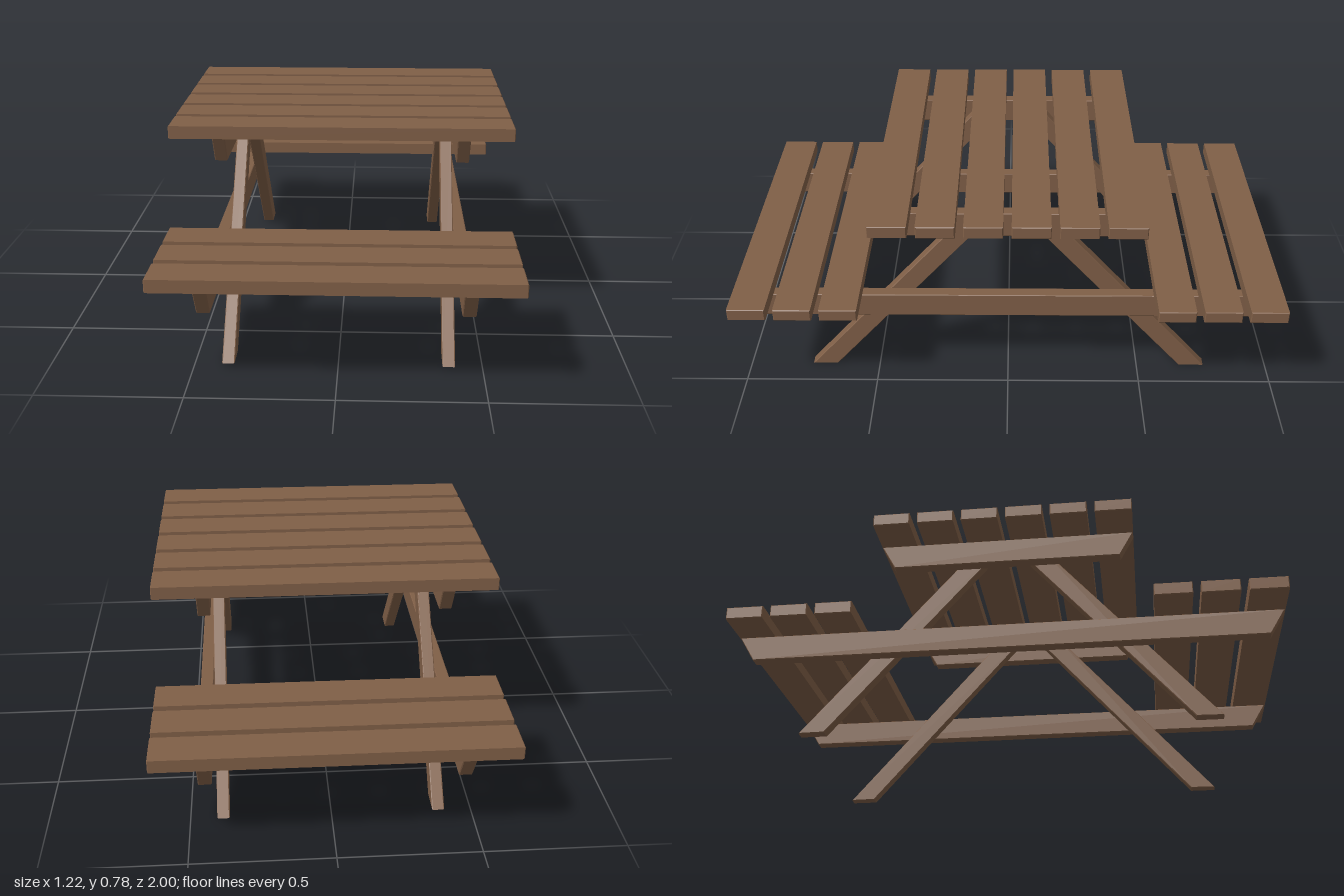
import * as THREE from 'three';

const wood = new THREE.MeshStandardMaterial({ color: 0x805f47 });
wood.name = 'brown wood';

const BEVEL = 0.003;

// Timber with a [z, y] outline, running along x between x0 and x1, edges slightly eased
function timber(name, outline, x0, x1) {
  const shape = new THREE.Shape(outline.map(([z, y]) => new THREE.Vector2(z, y)));
  const geometry = new THREE.ExtrudeGeometry(shape, {
    depth: x1 - x0 - 2 * BEVEL,
    bevelThickness: BEVEL,
    bevelSize: BEVEL,
    bevelOffset: -BEVEL,
    bevelSegments: 1,
  });
  geometry.translate(0, 0, BEVEL);
  geometry.rotateY(-Math.PI / 2);
  geometry.translate(x1, 0, 0);
  const mesh = new THREE.Mesh(geometry, wood);
  mesh.name = name;
  return mesh;
}

// Long board centred at z, with its underside at y
function plank(name, z, y) {
  const w = 0.0675, h = 0.046;
  return timber(name, [[z - w, y], [z + w, y], [z + w, y + h], [z - w, y + h]], -0.61, 0.61);
}

// Cross beam with ends sloping inwards towards the bottom
function beam(name, top, bottom, y0, y1, x) {
  return timber(name, [[-bottom, y0], [bottom, y0], [top, y1], [-top, y1]], x - 0.023, x + 0.023);
}

export function createModel() {
  const table = new THREE.Group();
  table.name = 'picnicTable';

  // Tabletop: six boards
  for (let i = 0; i < 6; i++) table.add(plank('tabletopPlank', (i - 2.5) * 0.1638, 0.732));

  for (const side of [-1, 1]) {
    // Bench seat: three boards
    for (let i = 0; i < 3; i++) table.add(plank('seatPlank', side * (0.9325 - i * 0.1638), 0.374));

    // Beams carrying the tabletop and the seats
    table.add(beam('tabletopBeam', 0.477, 0.425, 0.638, 0.732, side * 0.432));
    table.add(beam('seatBeam', 0.998, 0.942, 0.28, 0.374, side * 0.432));

    // Slanted legs against the inner faces of the beams
    for (const end of [-1, 1]) {
      const outline = [[0.665, 0], [0.76, 0], [0.118, 0.73], [0.023, 0.73]];
      table.add(timber('leg', outline.map(([z, y]) => [end * z, y]),
        side * 0.384 - 0.022, side * 0.384 + 0.022));
    }
  }
  return table;
}
